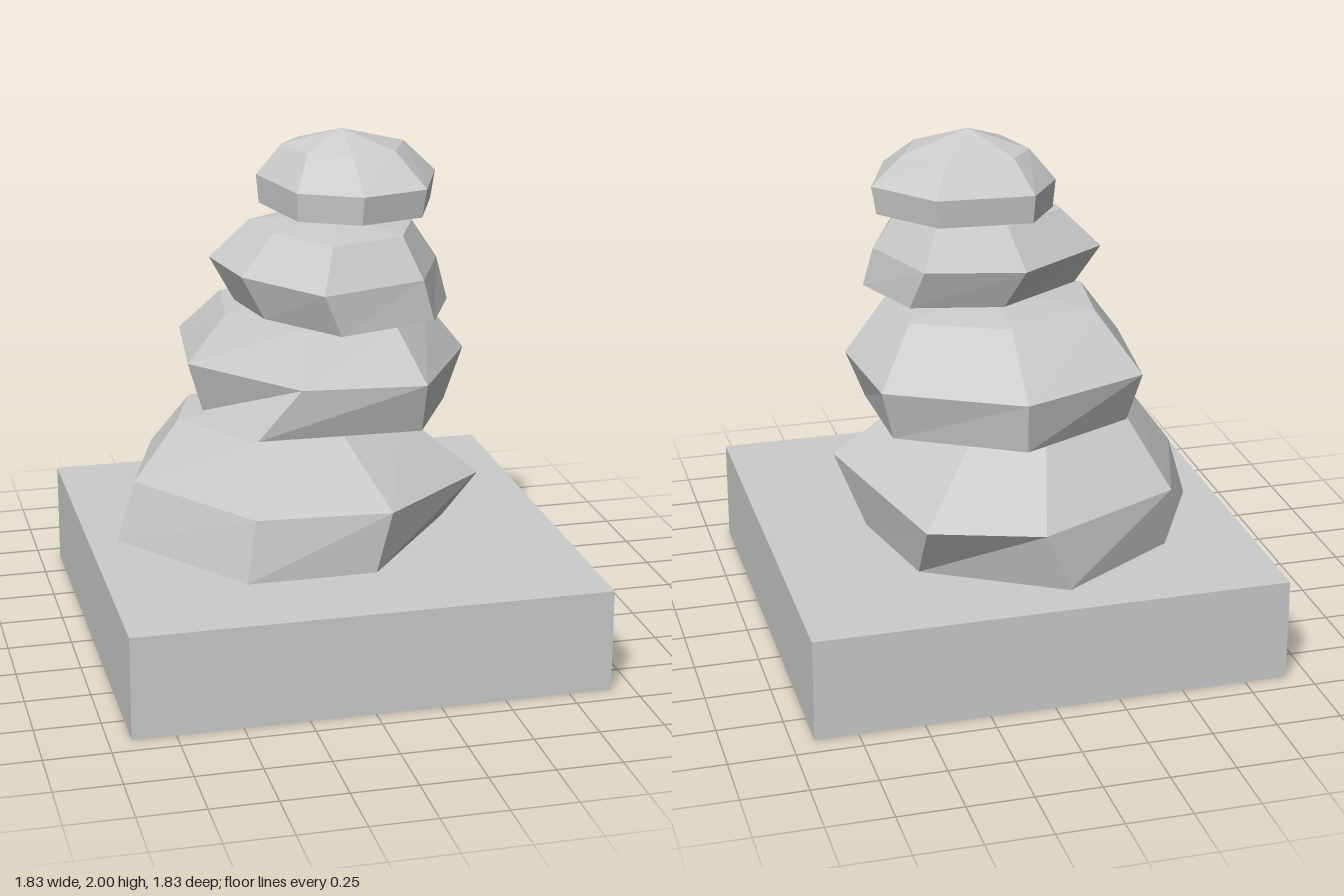
import * as THREE from 'three';

const grey = new THREE.MeshStandardMaterial({ color: 0xcccccc, flatShading: true });
const greyDouble = new THREE.MeshStandardMaterial({ color: 0xcccccc, flatShading: true, side: THREE.DoubleSide });

// A ring of [x, z] corners scaled by (sx, sz) and shifted by (dx, dz)
const fit = (ring, sx, sz, dx, dz) => ring.map(([x, z]) => [x * sx + dx, z * sz + dz]);

// Stone: rings skinned with triangles, closed by a fan at each pole
function makeStone(name, bottomPole, topPole, heights, rings) {
  const n = rings[0].length;
  const points = [...bottomPole];
  rings.forEach((ring, r) => ring.forEach(([x, z]) => points.push(x, heights[r], z)));
  points.push(...topPole);
  const last = rings.length - 1;
  const topIndex = 1 + n * rings.length;
  const at = (r, i) => 1 + r * n + (i % n);
  const index = [];
  for (let i = 0; i < n; i++) {
    index.push(0, at(0, i), at(0, i + 1));
    for (let r = 0; r < last; r++) {
      index.push(at(r, i), at(r + 1, i), at(r, i + 1));
      index.push(at(r, i + 1), at(r + 1, i), at(r + 1, i + 1));
    }
    index.push(at(last, i), topIndex, at(last, i + 1));
  }
  const geometry = new THREE.BufferGeometry();
  geometry.setAttribute('position', new THREE.Float32BufferAttribute(points, 3));
  geometry.setIndex(index);
  const flat = geometry.toNonIndexed();
  flat.computeVertexNormals();
  const mesh = new THREE.Mesh(flat, grey);
  mesh.name = name;
  return mesh;
}

// Square plinth, hollow and open underneath: a box without its bottom face
function makePlinth() {
  const box = new THREE.BoxGeometry(1.83, 0.4, 1.83);
  const faces = Array.from(box.index.array);
  faces.splice(18, 6);
  box.setIndex(faces);
  box.clearGroups();
  const mesh = new THREE.Mesh(box, greyDouble);
  mesh.name = 'plinth';
  mesh.position.y = 0.2;
  return mesh;
}

export function createModel() {
  const model = new THREE.Group();
  model.name = 'stackedStones';
  model.add(makePlinth());

  // Bottom stone, with a foot that spreads to one side
  const foot = [[0.51, 0], [0.1, 0.53], [-0.4, 0.53], [-0.8, -0.03], [-0.57, -0.47], [-0.1, -0.76], [0.41, -0.46]];
  const girth1 = [[0.6, 0.18], [0.16, 0.54], [-0.36, 0.5], [-0.73, -0.03], [-0.58, -0.5], [0, -0.78], [0.42, -0.64]];
  model.add(makeStone('bottomStone', [-0.07, 0.37, -0.03], [-0.06, 0.91, -0.06], [0.4, 0.64, 0.88],
    [foot, girth1, fit(girth1, 0.65, 0.62, -0.08, -0.01)]));

  // Lower middle stone
  const under2 = [[0.49, 0.07], [0.3, 0.43], [-0.33, 0.41], [-0.46, 0], [-0.42, -0.42], [0.03, -0.63], [0.48, -0.37]];
  const girth2 = [[0.57, 0.05], [0.3, 0.5], [-0.17, 0.45], [-0.52, 0.02], [-0.46, -0.48], [0.04, -0.67], [0.53, -0.41]];
  model.add(makeStone('lowerMiddleStone', [0.01, 0.89, -0.05], [0.03, 1.36, -0.03], [0.92, 1.12, 1.32],
    [under2, girth2, fit(girth2, 0.72, 0.64, 0, 0.03)]));

  // Upper middle stone
  const girth3 = [[0.44, 0.11], [0.3, 0.43], [-0.11, 0.56], [-0.35, 0.23], [-0.41, -0.09], [-0.05, -0.32], [0.32, -0.23]];
  model.add(makeStone('upperMiddleStone', [0.04, 1.32, 0.12], [0.05, 1.7, 0.08], [1.35, 1.51, 1.66],
    [fit(girth3, 0.94, 0.89, 0.06, 0.05), girth3, fit(girth3, 0.71, 0.74, 0.03, 0.02)]));

  // Top stone
  const girth4 = [[0.48, -0.06], [0.36, 0.25], [0.1, 0.32], [-0.13, 0.2], [-0.21, -0.15], [-0.08, -0.33], [0.29, -0.3]];
  model.add(makeStone('topStone', [0.11, 1.68, -0.01], [0.1, 2, -0.03], [1.7, 1.81, 1.93],
    [fit(girth4, 0.96, 0.95, 0, 0), girth4, fit(girth4, 0.68, 0.58, 0.03, -0.04)]));

  return model;
}
